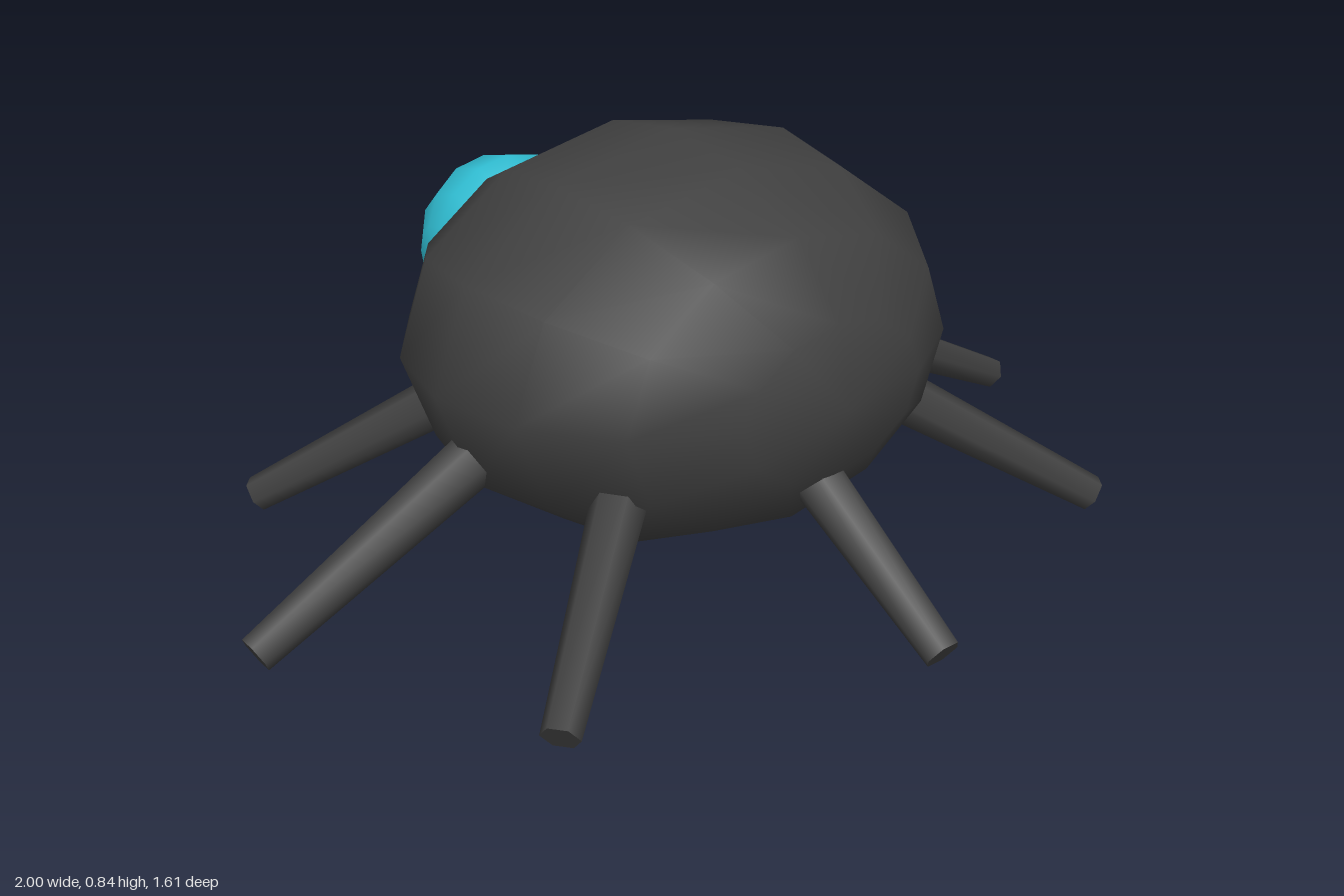
import * as THREE from 'three';

export function createModel() {
  const group = new THREE.Group();
  const charcoal = new THREE.MeshStandardMaterial({ color: 0x404040 });
  charcoal.name = 'charcoal';
  const legCharcoal = charcoal;
  const turquoise = new THREE.MeshStandardMaterial({ color: 0x30bdd2 });
  turquoise.name = 'turquoise';

  const add = (name, geometry, material) => {
    const mesh = new THREE.Mesh(geometry, material);
    mesh.name = name;
    group.add(mesh);
    return mesh;
  };

  // Wide oval body, poles facing front and back
  const body = new THREE.SphereGeometry(1, 12, 8);
  body.rotateX(Math.PI / 2).scale(0.575, 0.415, 0.522).translate(0, 0.43, 0);
  add('body', body, charcoal);

  // Round head at the back, poles facing sideways
  const head = new THREE.SphereGeometry(0.207, 12, 8);
  head.rotateZ(Math.PI / 2).translate(0, 0.43, -0.593);
  add('head', head, turquoise);

  // Eight tapered six-sided legs spread around an oval
  const up = new THREE.Vector3(0, 1, 0);
  for (let i = 0; i < 8; i++) {
    const a = (i * Math.PI) / 4;
    const point = (r, y) => new THREE.Vector3(Math.cos(a) * r, y, Math.sin(a) * r * 0.8);
    const hip = point(0.4, 0.325);
    const foot = point(0.985, 0.031);
    const dir = foot.clone().sub(hip);
    const length = dir.length();
    dir.normalize();
    const side = new THREE.Vector3().crossVectors(dir, up).normalize();
    const normal = new THREE.Vector3().crossVectors(dir, side);
    const leg = new THREE.CylinderGeometry(0.038, 0.06, length, 6);
    leg.applyMatrix4(new THREE.Matrix4().makeBasis(normal, dir, side));
    const mesh = add('leg' + (i + 1), leg, legCharcoal);
    mesh.position.copy(hip).add(foot).multiplyScalar(0.5);
  }
  return group;
}
